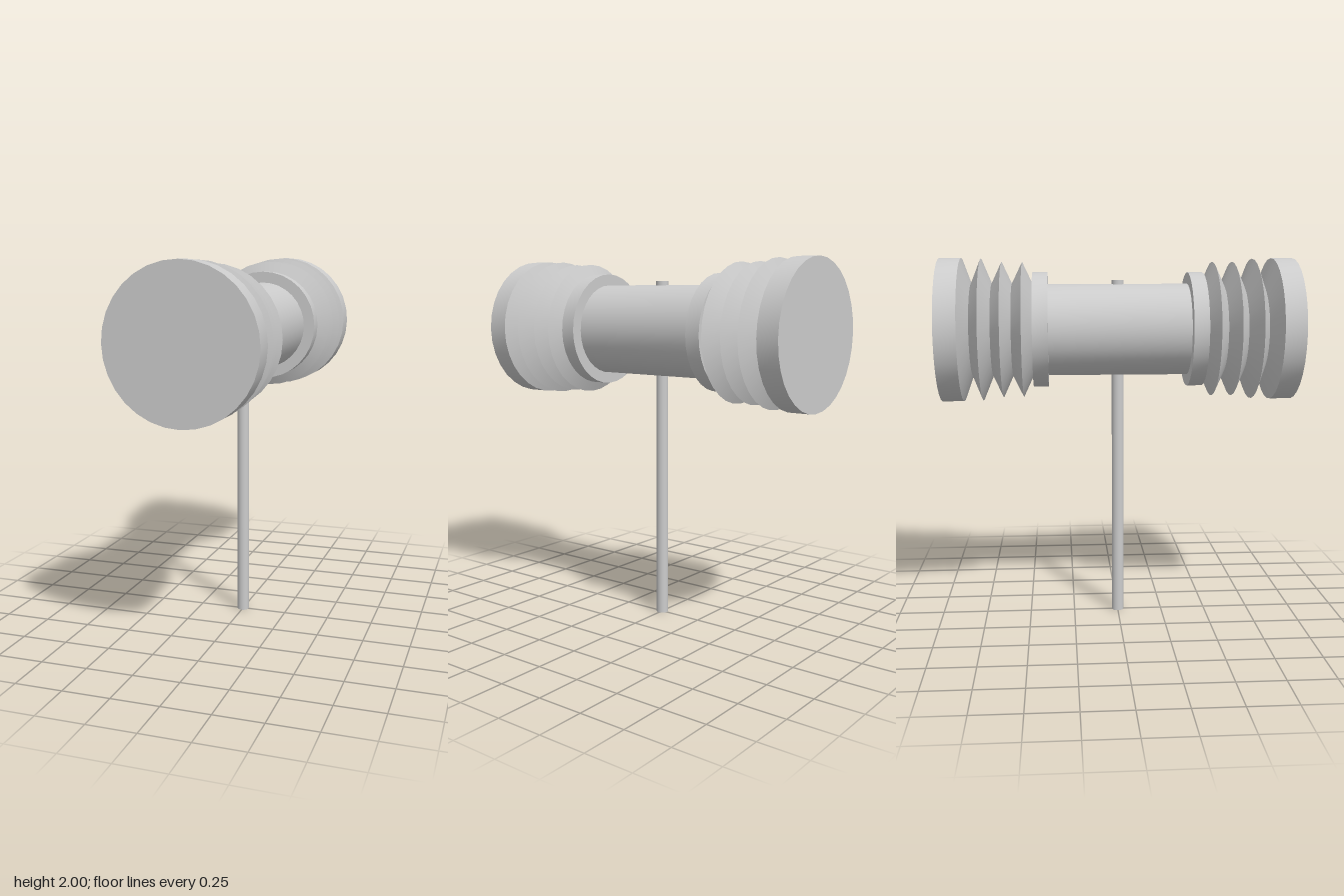
import * as THREE from 'three';
import { toCreasedNormals } from 'three/addons/utils/BufferGeometryUtils.js';

const AXIS_Y = 1.614;
const SIDES = 32;

export function createModel() {
  const model = new THREE.Group();
  model.name = 'hammer';
  const material = new THREE.MeshStandardMaterial({ color: 0xcccccc });

  // Turned part along z from [radius, z] points, with crisp edges
  const turned = (name, points) => {
    const profile = points.map(([r, z]) => new THREE.Vector2(r, z));
    const geometry = new THREE.LatheGeometry(profile, SIDES).rotateX(Math.PI / 2);
    const mesh = new THREE.Mesh(toCreasedNormals(geometry, 0.5), material);
    mesh.name = name;
    return mesh;
  };

  // Handle runs through the barrel and pokes out on top
  const handleLength = 1.883;
  const handle = new THREE.Mesh(
    new THREE.CylinderGeometry(0.033, 0.033, handleLength, SIDES), material);
  handle.name = 'handle';
  handle.position.y = handleLength / 2;
  model.add(handle);

  const head = new THREE.Group();
  head.name = 'head';
  head.position.y = AXIS_Y;
  model.add(head);

  // Central barrel
  head.add(turned('barrel', [[0, -0.42], [0.248, -0.42], [0.248, 0.42], [0, 0.42]]));

  // Two matching ends: collar, pleated bellows and striking cap
  for (const side of ['front', 'back']) {
    const end = new THREE.Group();
    end.name = side + 'End';
    end.rotation.y = side === 'front' ? 0 : Math.PI;
    end.add(turned('collar', [[0, 0.38], [0.31, 0.38], [0.31, 0.462], [0, 0.462]]));
    end.add(turned('bellows', [
      [0.25, 0.462], [0.366, 0.516], [0.25, 0.573], [0.366, 0.626],
      [0.25, 0.681], [0.383, 0.736], [0.25, 0.791], [0.386, 0.841],
    ]));
    end.add(turned('strikingCap', [[0.386, 0.841], [0.386, 0.957], [0, 0.957]]));
    head.add(end);
  }
  return model;
}
